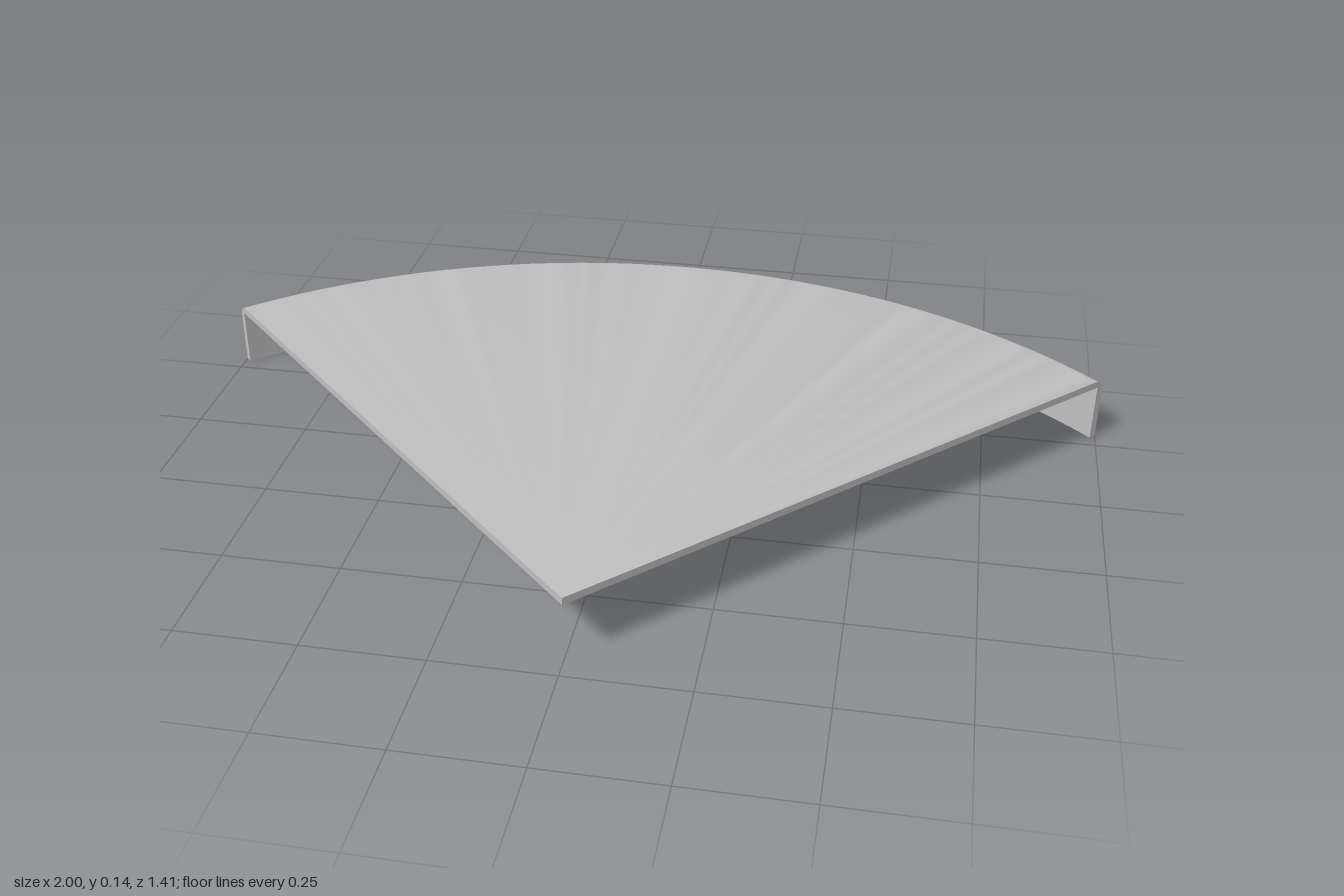
import * as THREE from 'three';
import { toCreasedNormals } from 'three/addons/utils/BufferGeometryUtils.js';

const R = Math.SQRT2;      // sector radius
const H = 0.145;           // overall height
const T = 0.016;           // plate and wall thickness
const ROUND = 0.026;       // rounded outer top edge
const START = Math.PI * 0.75;
const SWEEP = Math.PI / 2;

export function createModel() {
  const model = new THREE.Group();
  const grey = new THREE.MeshStandardMaterial({ color: 0xc0c0c0 });
  grey.name = 'plain grey';

  const add = (name, geometry) => {
    const mesh = new THREE.Mesh(geometry, grey);
    mesh.name = name;
    mesh.position.z = R / 2; // pivot at the tip of the sector
    model.add(mesh);
    return mesh;
  };

  // Cross-section: thin top plate turning down into the curved wall
  const section = new THREE.Shape();
  section.moveTo(0, H - T);
  section.lineTo(R - T, H - T);
  section.lineTo(R - T, 0);
  section.lineTo(R, 0);
  section.lineTo(R, H - ROUND);
  section.absarc(R - ROUND, H - ROUND, ROUND, 0, Math.PI / 2, false);
  section.lineTo(0, H);
  section.closePath();

  // Quarter-circle shell
  const profile = section.getPoints(8);
  add('shell', toCreasedNormals(new THREE.LatheGeometry(profile, 72, START, SWEEP), 0.5));

  // Flat cut faces along the two straight sides
  const cut = new THREE.ShapeGeometry(section, 8).rotateY(START - Math.PI / 2);
  add('leftCutFace', cut);
  add('rightCutFace', cut).scale.x = -1;

  // Small tab reaching inward from the wall
  const angle = THREE.MathUtils.degToRad(10);
  const tab = new THREE.BoxGeometry(0.098, 0.026, 0.15);
  tab.translate(0, 0.098, -1.33).rotateY(-angle);
  add('innerTab', tab);

  return model;
}
